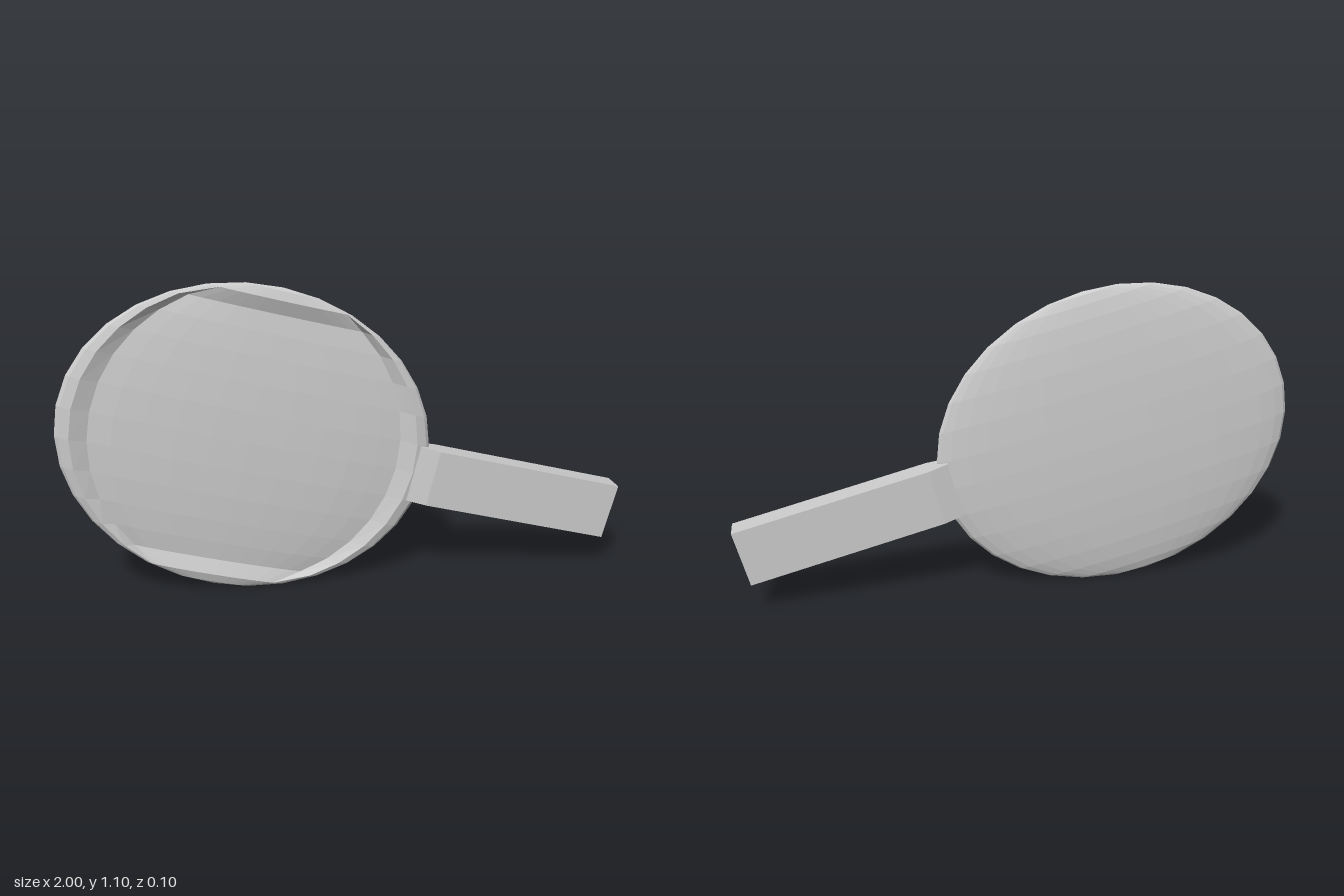
import * as THREE from 'three';

const RX = 0.65, RY = 0.545, RZ = 0.058; // dish half sizes
const RINGS = 16, SEGMENTS = 32;
const DIP = 0.03;   // how far the front face is pushed in
const TILT = -0.25; // the whole piece leans along its handle

// point on the flattened sphere; poles at top and bottom, j = 0 at the handle, j = 8 in front
function dishPoint(i, j) {
  const lat = Math.PI / 2 - (i / RINGS) * Math.PI;
  const lon = (j / SEGMENTS) * Math.PI * 2;
  const pushed = i >= 3 && i <= 13 && j >= 3 && j <= 13;
  return [
    RX * Math.cos(lat) * Math.cos(lon),
    RY * Math.sin(lat),
    RZ * Math.cos(lat) * Math.sin(lon) - (pushed ? DIP : 0),
  ];
}

function dishGeometry() {
  const pos = [], index = [];
  for (let i = 0; i <= RINGS; i++) {
    for (let j = 0; j < SEGMENTS; j++) pos.push(...dishPoint(i, j));
  }
  for (let i = 0; i < RINGS; i++) {
    for (let j = 0; j < SEGMENTS; j++) {
      const k = (j + 1) % SEGMENTS;
      const a = i * SEGMENTS + j, d = i * SEGMENTS + k;
      const b = a + SEGMENTS, c = d + SEGMENTS;
      if (i < RINGS - 1) index.push(a, c, b);
      if (i > 0) index.push(a, d, c);
    }
  }
  const g = new THREE.BufferGeometry();
  g.setAttribute('position', new THREE.Float32BufferAttribute(pos, 3));
  g.setIndex(index);
  g.computeVertexNormals();
  return g;
}

// square bar whose inner end tapers into the rim
function handleGeometry() {
  const shape = new THREE.Shape([
    [0, -0.028], [0.07, -0.045], [0.768, -0.045],
    [0.768, 0.045], [0.07, 0.045], [0, 0.028],
  ].map(([x, y]) => new THREE.Vector2(x, y)));
  const g = new THREE.ExtrudeGeometry(shape, { depth: 0.205, bevelEnabled: false });
  g.translate(0, 0, -0.1025);
  g.rotateX(-Math.PI / 2);
  return g;
}

export function createModel() {
  const group = new THREE.Group();
  const material = new THREE.MeshStandardMaterial({ color: 0xcccccc, flatShading: true });

  const dish = new THREE.Mesh(dishGeometry(), material);
  dish.name = 'dish';
  dish.position.set(-0.355, 0.55, 0.007);
  dish.rotation.z = TILT;
  group.add(dish);

  const handle = new THREE.Mesh(handleGeometry(), material);
  handle.name = 'handle';
  handle.position.set(0.23, 0.4, 0.004);
  handle.rotation.z = TILT;
  group.add(handle);

  return group;
}
